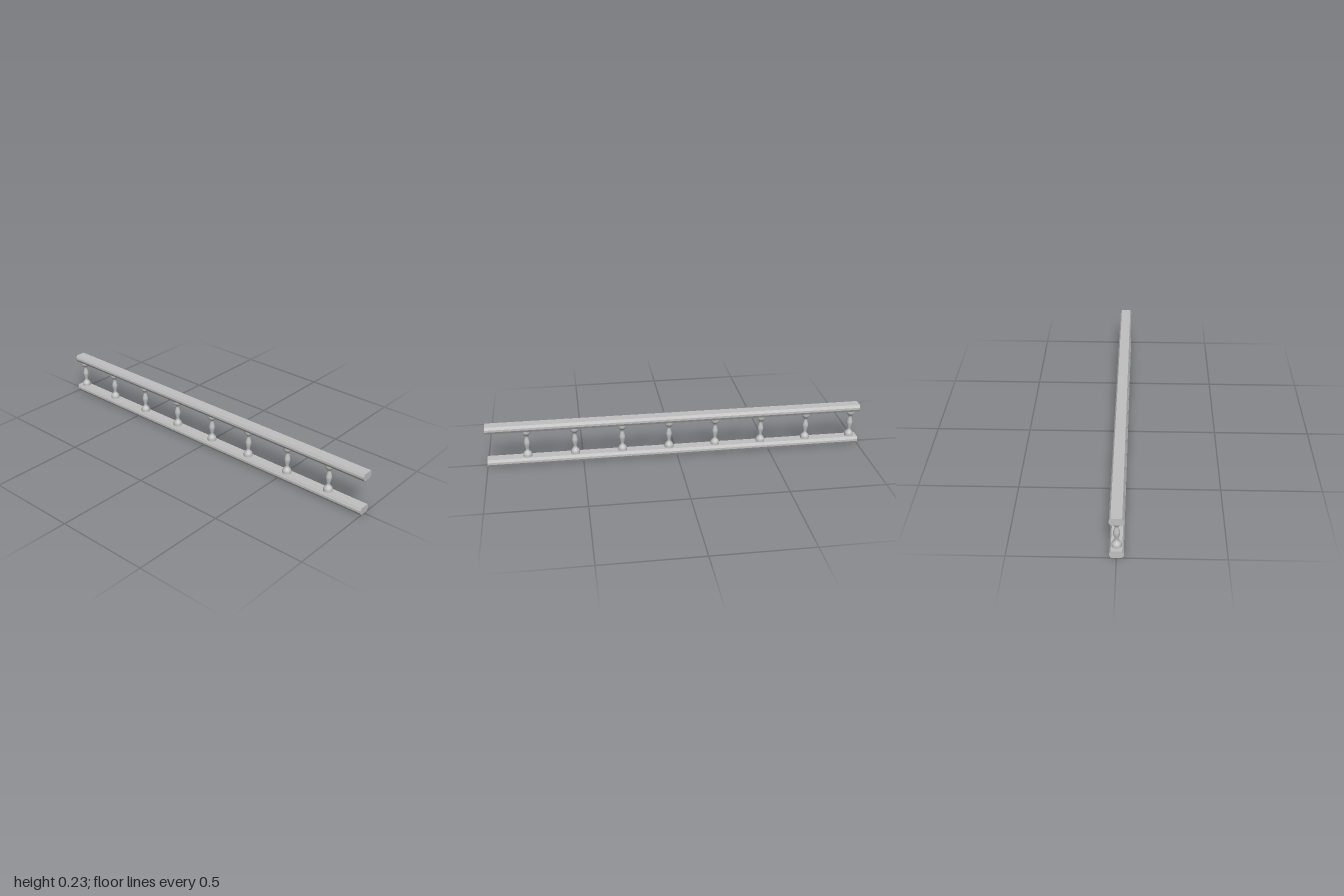
import * as THREE from 'three';

const LENGTH = 2;

// Bevelled six/eight-sided rail running along z
function makeRail(name, y, material) {
  const half = [[0.025, 0], [0.033, 0.014], [0.033, 0.025], [0.026, 0.039]];
  const outline = [...half, ...half.map(([x, h]) => [-x, h]).reverse()];
  const shape = new THREE.Shape(outline.map(([x, h]) => new THREE.Vector2(x, h)));
  const geometry = new THREE.ExtrudeGeometry(shape, { depth: LENGTH, bevelEnabled: false });
  geometry.translate(0, y, -LENGTH / 2);
  const rail = new THREE.Mesh(geometry, material);
  rail.name = name;
  return rail;
}

export function createModel() {
  const group = new THREE.Group();
  group.name = 'balustrade';
  const stone = new THREE.MeshStandardMaterial({ color: 0xc0c0c0 });
  stone.name = 'grey stone';

  group.add(makeRail('bottomRail', 0, stone), makeRail('topRail', 0.189, stone));

  // Turned baluster: domed foot, slim waist, swelling middle, cup-shaped head
  const profile = [
    [0.0235, 0.037], [0.0235, 0.051], [0.021, 0.058], [0.014, 0.067], [0.0085, 0.075],
    [0.0095, 0.085], [0.0155, 0.108], [0.0155, 0.121], [0.0095, 0.145], [0.008, 0.154],
    [0.014, 0.162], [0.021, 0.169], [0.0235, 0.177], [0.0235, 0.191],
  ].map(([r, y]) => new THREE.Vector2(r, y));
  const balusterGeometry = new THREE.LatheGeometry(profile, 20);

  // Eight evenly spaced balusters, set off-centre so that sections can repeat
  for (let i = 0; i < 8; i++) {
    const baluster = new THREE.Mesh(balusterGeometry, stone);
    baluster.name = `baluster${i + 1}`;
    baluster.position.z = 0.79 - i * 0.25;
    group.add(baluster);
  }
  return group;
}
